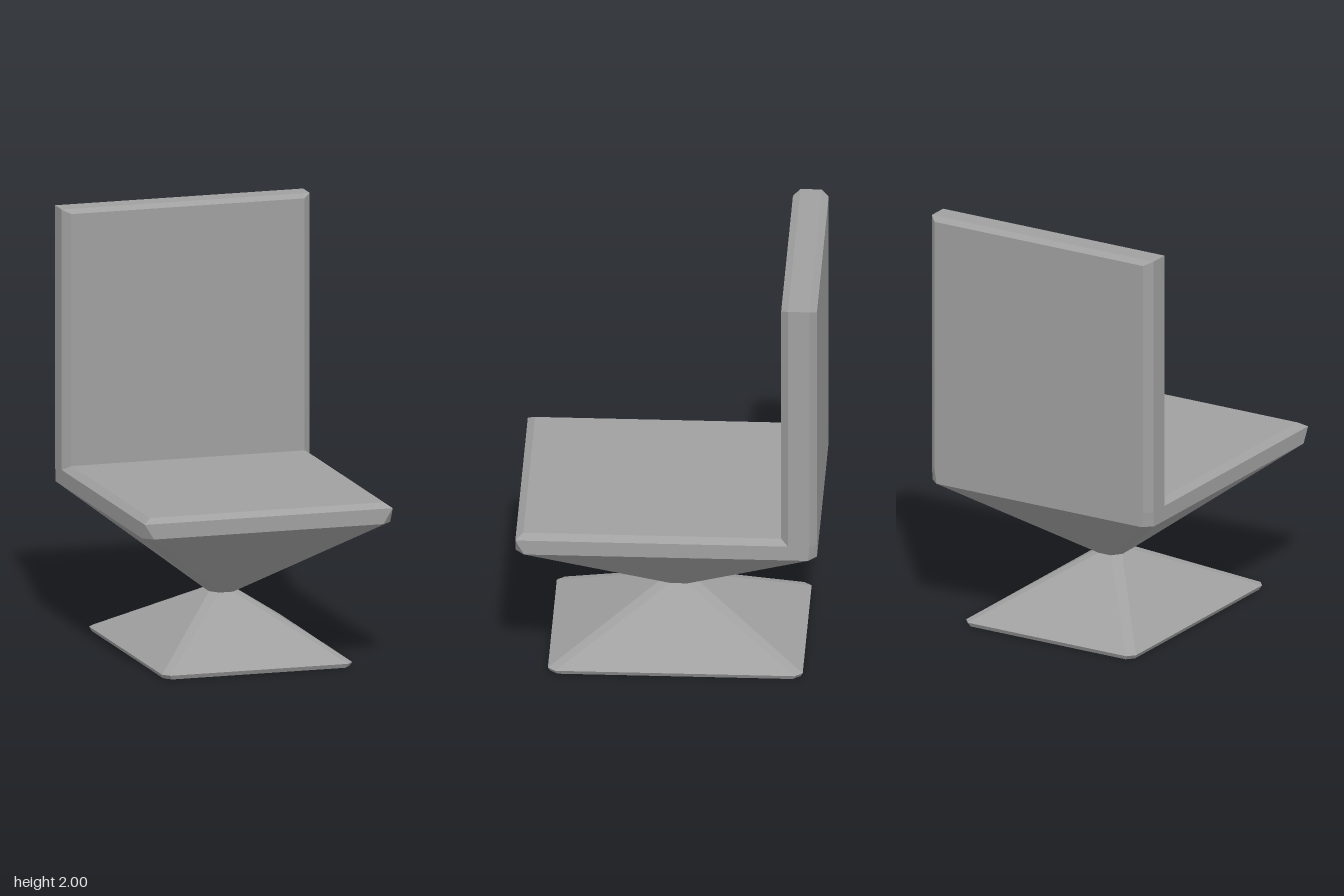
import * as THREE from 'three';

const NECK_Z = -0.035;

// Eight-sided ring, counter-clockwise from above: half width, front and back z,
// corner cuts in x and z (front corners, then back corners)
function ring(y, hx, zf, zb, cx, cz, bx = cx, bz = cz) {
  return [
    [-hx + cx, y, zf], [hx - cx, y, zf], [hx, y, zf - cz], [hx, y, zb + bz],
    [hx - bx, y, zb], [-hx + bx, y, zb], [-hx, y, zb + bz], [-hx, y, zf - cz],
  ];
}

// Ring centred on the neck axis
const neckRing = (y, hx, hz, cx, cz) => ring(y, hx, NECK_Z + hz, NECK_Z - hz, cx, cz);

// Skin a stack of rings and close both ends; faces stay flat
function loft(name, rings, material) {
  const pos = [];
  const tri = (a, b, c) => {
    const [A, B, C] = [a, b, c].map((p) => new THREE.Vector3(...p));
    const area = B.clone().sub(A).cross(C.clone().sub(A)).length();
    if (area > 1e-8) pos.push(...a, ...b, ...c);
  };
  for (let k = 0; k < rings.length - 1; k++) {
    const a = rings[k], b = rings[k + 1];
    for (let i = 0; i < 8; i++) {
      const j = (i + 1) % 8;
      tri(a[i], a[j], b[j]);
      tri(a[i], b[j], b[i]);
    }
  }
  const first = rings[0], last = rings[rings.length - 1];
  for (let i = 1; i < 7; i++) {
    tri(first[0], first[i + 1], first[i]);
    tri(last[0], last[i], last[i + 1]);
  }
  const geometry = new THREE.BufferGeometry();
  geometry.setAttribute('position', new THREE.Float32BufferAttribute(pos, 3));
  geometry.computeVertexNormals();
  const mesh = new THREE.Mesh(geometry, material);
  mesh.name = name;
  return mesh;
}

export function createModel() {
  const grey = new THREE.MeshStandardMaterial({ color: 0xa0a0a0 });
  grey.name = 'grey';
  const chair = new THREE.Group();
  chair.name = 'chair';

  // Seat: tapered underside rising to a slab with a bevelled top
  chair.add(loft('seat', [
    neckRing(0.28, 0.065, 0.08, 0.035, 0.045),
    ring(0.7, 0.6, 0.695, -0.695, 0.045, 0.04),
    ring(0.772, 0.6, 0.695, -0.695, 0, 0, 0.035, 0.033),
    ring(0.795, 0.565, 0.66, -0.66, 0, 0),
  ], grey));

  // Backrest: bevelled slab whose front and back edges sit just below the top
  const backRing = (y, drop = 0) => {
    const r = ring(y, 0.6, -0.53, -0.695, 0.035, 0.033);
    for (const i of [0, 1, 4, 5]) r[i][1] -= drop;
    return r;
  };
  // The top ring is the flat strip between the two long bevels
  chair.add(loft('backrest', [
    backRing(0.772),
    backRing(2, 0.017),
    ring(2, 0.6, -0.563, -0.662, 0, 0),
  ], grey));

  // Base: hollow flared foot with a small recess under the neck
  chair.add(loft('base', [
    neckRing(0.279, 0.05, 0.065, 0.025, 0.03),
    neckRing(0.25, 0.05, 0.065, 0.025, 0.03),
    neckRing(0.005, 0.425, 0.55, 0.03, 0.035),
    neckRing(0, 0.45, 0.578, 0.03, 0.035),
    neckRing(0.02, 0.46, 0.588, 0.03, 0.035),
    neckRing(0.285, 0.065, 0.08, 0.035, 0.045),
  ], grey));

  return chair;
}
